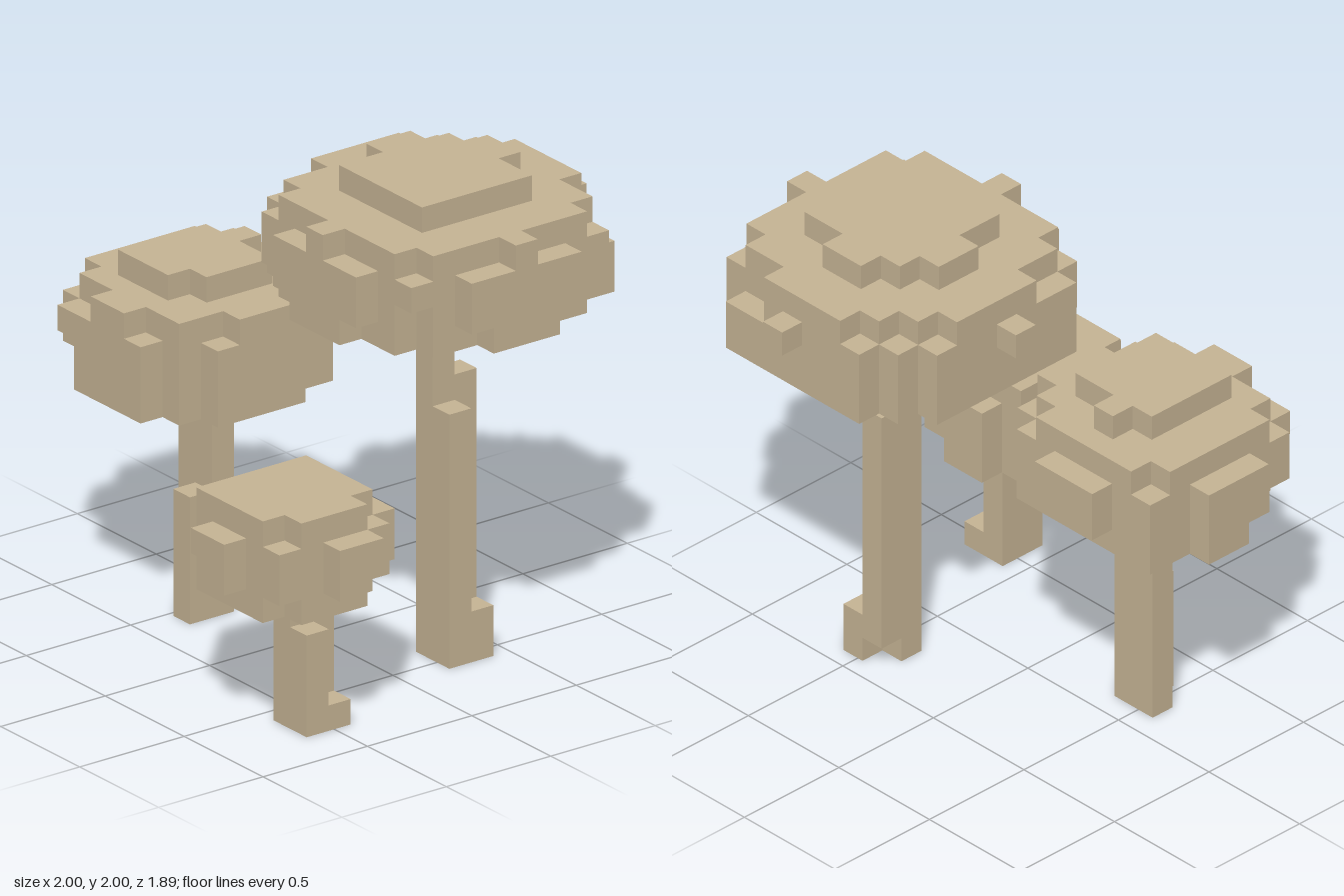
import * as THREE from 'three';
import { mergeGeometries } from 'three/addons/utils/BufferGeometryUtils.js';

const U = 2 / 19; // edge of one cube

// One block, given by its cell ranges from low to high on each axis
function block([x0, x1, y0, y1, z0, z1]) {
  const g = new THREE.BoxGeometry((x1 - x0) * U, (y1 - y0) * U, (z1 - z0) * U);
  g.translate(((x0 + x1) / 2 - 9.5) * U, ((y0 + y1) / 2) * U, ((z0 + z1) / 2 - 9) * U);
  return g;
}

// Layer of a given height made from rows [z0, z1, x0, x1]
const layer = (y0, y1, rows) => rows.map(([z0, z1, x0, x1]) => [x0, x1, y0, y1, z0, z1]);

export function createModel() {
  const model = new THREE.Group();
  const tan = new THREE.MeshStandardMaterial({ color: 0xc8b696 });
  tan.name = 'tan';

  function part(parent, name, blocks) {
    const mesh = new THREE.Mesh(mergeGeometries(blocks.map(block)), tan);
    mesh.name = name;
    parent.add(mesh);
  }

  function tree(name, parts) {
    const group = new THREE.Group();
    group.name = name;
    for (const [key, blocks] of Object.entries(parts)) part(group, key, blocks);
    model.add(group);
  }

  tree('tallTree', {
    trunk: [
      [13, 14, 0, 14, 6, 7],
      [14, 15, 0, 10, 6, 7],
      [13, 14, 1, 11, 5, 6],
      [14, 15, 0, 2, 5, 6],
    ],
    crown: layer(14, 18, [
      [1, 2, 11, 15], [2, 3, 10, 17], [3, 4, 9, 18],
      [4, 8, 8, 18], [8, 10, 9, 18], [10, 11, 10, 17],
    ]),
    crownTop: layer(18, 19, [[3, 4, 12, 14], [4, 5, 11, 16], [5, 7, 10, 16], [7, 9, 11, 16]]),
    frontLeaves: [[11, 16, 15, 17, 11, 12], [13, 14, 17, 18, 11, 12], [12, 15, 14, 15, 11, 12]],
    leftLeaves: [[18, 19, 15, 17, 4, 9], [18, 19, 17, 18, 6, 7], [18, 19, 14, 15, 5, 8]],
    rightLeaves: [[8, 9, 14, 17, 8, 10], [7, 8, 16, 17, 6, 7]],
    backLeaves: [[15, 17, 14, 16, 1, 2], [13, 14, 16, 17, 0, 1]],
    cornerLeaves: [
      [9, 10, 15, 17, 10, 11], [17, 18, 16, 17, 10, 11], [17, 18, 15, 17, 2, 3],
      [10, 11, 14, 17, 1, 2], [9, 10, 14, 17, 2, 3], [8, 9, 14, 17, 3, 4],
    ],
  });

  tree('middleTree', {
    trunk: [[4, 6, 0, 9, 10, 11], [5, 6, 0, 5, 11, 12]],
    crown: layer(9, 13, [[7, 8, 2, 7], [8, 13, 1, 8], [13, 14, 2, 8]]),
    crownTop: layer(13, 14, [[8, 9, 4, 5], [9, 12, 3, 7], [12, 13, 3, 6]]),
    frontLeaves: [[2, 7, 11, 12, 14, 15], [3, 7, 9, 11, 14, 15], [4, 6, 12, 13, 14, 15]],
    leftLeaves: [[8, 9, 10, 12, 8, 13], [8, 9, 12, 13, 9, 12], [8, 9, 9, 10, 9, 13]],
    rightLeaves: [[0, 1, 10, 12, 9, 12], [0, 1, 9, 10, 9, 11]],
    backLeaves: [[3, 6, 10, 12, 6, 7]],
    cornerLeaves: [[1, 2, 10, 12, 13, 14], [1, 2, 9, 12, 7, 8], [7, 8, 9, 12, 7, 8]],
  });

  tree('smallTree', {
    trunk: [[15, 16, 0, 5, 13, 15], [16, 17, 0, 4, 14, 15], [16, 17, 0, 1, 13, 14]],
    crown: layer(5, 9, [[12, 13, 13, 17], [13, 16, 13, 18], [16, 17, 13, 17]]),
    frontLeaves: [[14, 16, 7, 8, 17, 18], [15, 16, 6, 7, 17, 18]],
    leftLeaves: [[18, 19, 6, 8, 14, 15], [18, 19, 7, 8, 13, 14]],
    rightLeaves: [[12, 13, 6, 8, 12, 16], [12, 13, 5, 6, 13, 15]],
    backLeaves: [[14, 17, 6, 8, 11, 12], [14, 16, 5, 6, 11, 12]],
    cornerLeaves: [[17, 18, 6, 8, 16, 17], [17, 18, 6, 8, 12, 13]],
  });

  return model;
}
